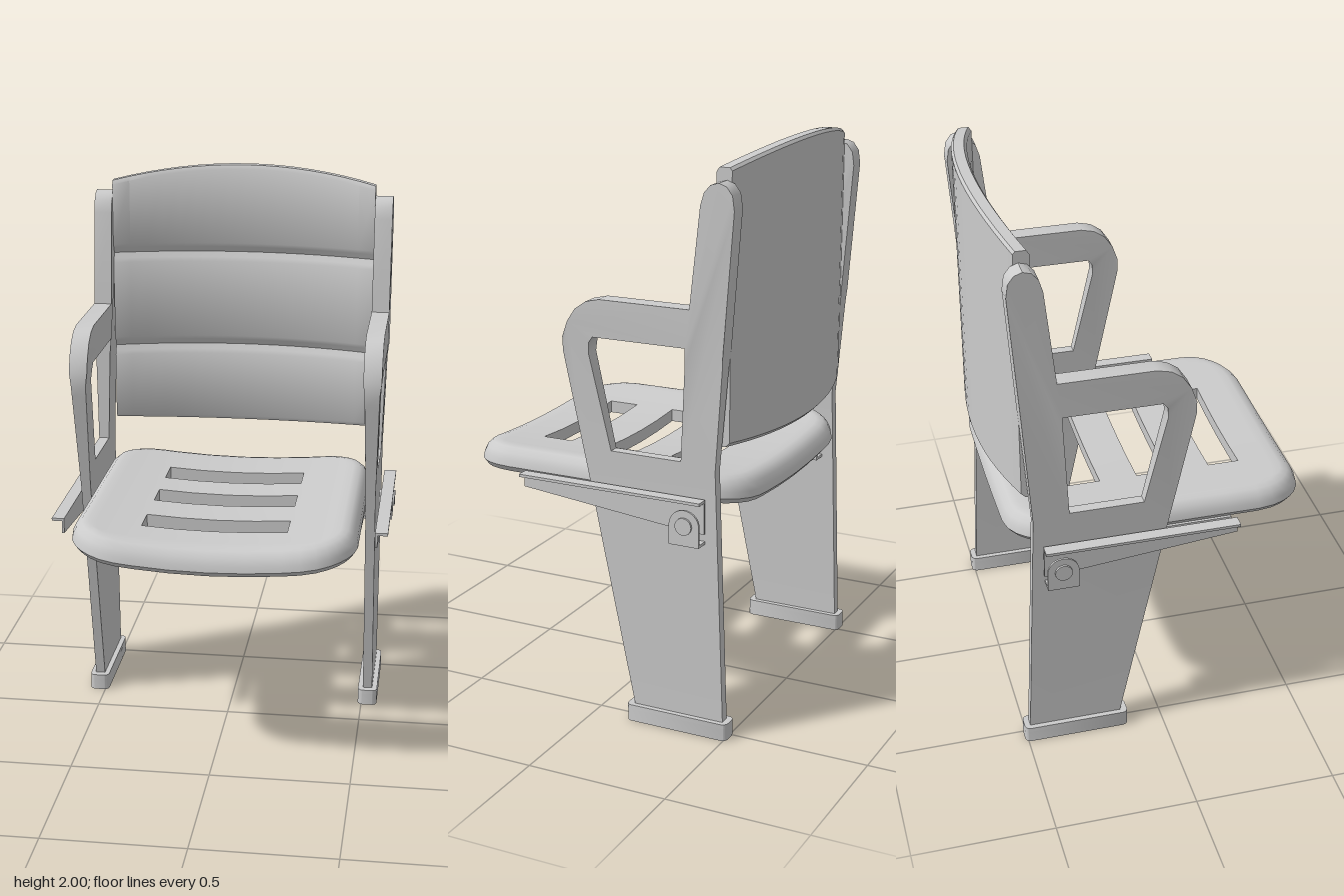
import * as THREE from 'three';
import { toCreasedNormals } from 'three/addons/utils/BufferGeometryUtils.js';

const material = new THREE.MeshStandardMaterial({ color: 0xcccccc });
const { lerp, clamp } = THREE.MathUtils;
const toPath = (pts, Type = THREE.Shape) => new Type(pts.map(([a, b]) => new THREE.Vector2(a, b)));

function addMesh(group, geometry, name, x = 0, y = 0, z = 0) {
  const mesh = new THREE.Mesh(geometry, material);
  mesh.name = name;
  mesh.position.set(x, y, z);
  group.add(mesh);
}

// Extrudes a (z, y) outline sideways, centred on x = 0
function sideways(shape, width, steps = 1) {
  const geo = new THREE.ExtrudeGeometry(shape, { depth: width, steps, bevelEnabled: false, curveSegments: 10 });
  return geo.translate(0, 0, -width / 2).rotateY(-Math.PI / 2);
}

function moveVertices(geo, rule) {
  const pos = geo.attributes.position;
  const v = new THREE.Vector3();
  for (let i = 0; i < pos.count; i++) {
    rule(v.fromBufferAttribute(pos, i));
    pos.setXYZ(i, v.x, v.y, v.z);
  }
  return toCreasedNormals(geo, 0.6);
}

// Leg, armrest and upright in one plate, thicker towards the top
function frameGeometry() {
  const shape = toPath([
    [-0.49, 0.05], [-0.158, 0.05], [0.022, 0.9], [0.097, 1.26], [0.105, 1.3], [0.104, 1.35], [0.085, 1.405],
    [0.055, 1.45], [0.015, 1.478], [-0.035, 1.49], [-0.365, 1.49], [-0.402, 1.83], [-0.415, 1.872],
    [-0.437, 1.897], [-0.465, 1.905], [-0.493, 1.895], [-0.513, 1.868], [-0.52, 1.82], [-0.485, 1.35],
    [-0.481, 1.3], [-0.455, 0.95], [-0.457, 0.9],
  ]);
  shape.holes.push(toPath([
    [-0.07, 0.97], [-0.33, 0.97], [-0.347, 1.3], [-0.35, 1.36], [-0.01, 1.36], [0.005, 1.34], [0.008, 1.3],
  ], THREE.Path));
  return moveVertices(sideways(shape, 1), (v) => {
    v.x *= v.y > 1.3
      ? lerp(0.053, 0.065, clamp((v.y - 1.3) / 0.05, 0, 1))
      : lerp(0.035, 0.053, clamp((v.y - 0.9) / 0.4, 0, 1));
  });
}

// Backrest: grooved section swept across and bowed backwards
function backrestGeometry() {
  const front = -0.506, back = -0.56;
  const pts = [[back, 1.025], [back + 0.015, 1.01], [front - 0.01, 1.01], [front, 1.025]];
  for (const y of [1.31, 1.67]) {
    pts.push([front, y - 0.035], [front - 0.008, y - 0.02], [front - 0.018, y], [front - 0.008, y + 0.02], [front, y + 0.035]);
  }
  pts.push([front, 1.985], [front - 0.01, 2], [back + 0.008, 2], [back, 1.99]);
  return moveVertices(sideways(toPath(pts), 0.98, 16), (v) => {
    const t = (v.x / 0.49) ** 2;
    v.z += 0.078 * t;
    if (v.y > 1.9) v.y -= 0.055 * t;
    if (v.y < 1.1) v.y += 0.015 * t;
  });
}

// Seat: slotted sagging sheet with a rolled rim around it
function seatGeometry() {
  const half = [0.44, 0.41, 0.37, 0.31, 0.255, 0.13];
  const xs = [...half.map((x) => -x), 0, ...half.slice().reverse()];
  const zs = [-0.46, -0.43, -0.39, -0.33, -0.275, -0.155, -0.02, 0.095, 0.245, 0.357, 0.415, 0.455, 0.485];
  const slotRows = [4, 6, 8];
  const X = 0.44, H = 0.4725, zc = 0.0125, r = 0.13, sheet = 0.045;
  const out = [];
  const quad = (a, b, c, d) => { for (const p of [a, b, c, a, c, d]) out.push(...p); };
  const height = (x) => 0.87 + 0.04 * Math.min(1, (x / 0.5) ** 2);

  // Grid point in plan, with the four corners rounded and the front bowed
  function plan(i, j) {
    let x = xs[i], z = zs[j];
    const u = (Math.abs(x) - X + r) / r, v = (Math.abs(z - zc) - H + r) / r;
    if (u > 0 && v > 0) {
      x = Math.sign(x) * (X - r + r * u * Math.sqrt(1 - v * v / 2));
      z = zc + Math.sign(z - zc) * (H - r + r * v * Math.sqrt(1 - u * u / 2));
    }
    if (z > 0.38) z += 0.015 * (1 - (x / X) ** 2) * (z - 0.38) / 0.105;
    return [x, z];
  }
  const at = (i, j, drop) => {
    const [x, z] = plan(i, j);
    return [x, height(x) - drop, z];
  };

  const n = xs.length - 1, m = zs.length - 1;
  for (let i = 0; i < n; i++) {
    for (let j = 0; j < m; j++) {
      const T = [at(i, j, 0), at(i, j + 1, 0), at(i + 1, j + 1, 0), at(i + 1, j, 0)];
      const B = [at(i, j, sheet), at(i, j + 1, sheet), at(i + 1, j + 1, sheet), at(i + 1, j, sheet)];
      const open = slotRows.includes(j) && i >= 4 && i < n - 4;
      if (!open) {
        quad(...T);
        quad(B[3], B[2], B[1], B[0]);
        continue;
      }
      // Slot walls
      quad(T[0], B[0], B[3], T[3]);
      quad(T[2], B[2], B[1], T[1]);
      if (i === 4) quad(T[1], B[1], B[0], T[0]);
      if (i === n - 5) quad(T[3], B[3], B[2], T[2]);
    }
  }

  // Rolled rim: (outward, down) section carried round the perimeter
  const loop = [];
  for (let i = 0; i < n; i++) loop.push(plan(i, m));
  for (let j = m; j > 0; j--) loop.push(plan(n, j));
  for (let i = n; i > 0; i--) loop.push(plan(i, 0));
  for (let j = 0; j < m; j++) loop.push(plan(0, j));
  const section = [[0, 0], [0.025, 0.006], [0.045, 0.026], [0.056, 0.05], [0.06, 0.072], [0.045, 0.09], [0.02, 0.09], [0, sheet]];
  const rings = loop.map(([x, z], k) => {
    const a = loop.at(k - 1), b = loop[(k + 1) % loop.length];
    const dx = b[0] - a[0], dz = b[1] - a[1], len = Math.hypot(dx, dz);
    return section.map(([o, d]) => {
      const px = x - o * dz / len;
      return [px, height(px) - d, z + o * dx / len];
    });
  });
  rings.forEach((ring, k) => {
    const next = rings[(k + 1) % rings.length];
    for (let s = 0; s < section.length - 1; s++) quad(ring[s], ring[s + 1], next[s + 1], next[s]);
  });

  const geo = new THREE.BufferGeometry();
  geo.setAttribute('position', new THREE.Float32BufferAttribute(out, 3));
  return toCreasedNormals(geo, 0.75);
}

// Rounded rectangle lying flat, for the feet
function footSlab(height, hollow) {
  const rounded = (w, d, r, Type) => {
    const p = new Type();
    p.absarc(w - r, d - r, r, 0, Math.PI / 2);
    p.absarc(r - w, d - r, r, Math.PI / 2, Math.PI);
    p.absarc(r - w, r - d, r, Math.PI, Math.PI * 1.5);
    p.absarc(w - r, r - d, r, Math.PI * 1.5, Math.PI * 2);
    return p;
  };
  const shape = rounded(0.036, 0.19, 0.02, THREE.Shape);
  if (hollow) shape.holes.push(rounded(0.026, 0.18, 0.012, THREE.Path));
  const geo = new THREE.ExtrudeGeometry(shape, { depth: height, bevelEnabled: false, curveSegments: 5 });
  return toCreasedNormals(geo.rotateX(-Math.PI / 2), 0.6);
}

// Round-topped tab of the hinge clip
function tabGeometry() {
  const s = new THREE.Shape();
  s.moveTo(-0.42, 0.695);
  s.lineTo(-0.31, 0.695);
  s.absarc(-0.365, 0.765, 0.055, 0, Math.PI);
  s.closePath();
  return toCreasedNormals(sideways(s, 0.008), 0.6);
}

const railGeometry = (top) => sideways(toPath([[-0.425, top], [-0.425, 0.735], [-0.32, 0.742], [0.26, 0.8], [0.26, top]]), 0.008);

function addSide(model, s) {
  const side = new THREE.Group();
  side.name = s > 0 ? 'leftSide' : 'rightSide';
  const add = (geo, name, x, y = 0, z = 0) => addMesh(side, geo, name, s * x, y, z);
  const fx = 0.5225;

  add(frameGeometry(), 'sideFrame', fx);
  add(footSlab(0.045, true), 'footRim', fx, 0, -0.32);
  add(footSlab(0.015, false), 'footCap', fx, 0.045, -0.32);

  // Seat rails and hinge clips on both faces of the frame
  add(railGeometry(0.855), 'outerRail', 0.557);
  add(new THREE.BoxGeometry(0.045, 0.01, 0.685), 'outerRailFlange', 0.575, 0.85, -0.0825);
  add(railGeometry(0.815), 'innerRail', 0.488);
  add(new THREE.BoxGeometry(0.045, 0.01, 0.685), 'innerRailFlange', 0.468, 0.81, -0.0825);
  for (const [label, x, mid] of [['outer', 0.586, 0.565], ['inner', 0.456, 0.48]]) {
    add(tabGeometry(), label + 'HingeTab', x);
    add(new THREE.BoxGeometry(0.05, 0.01, 0.11), label + 'HingeBase', mid, 0.7, -0.365);
  }
  const pin = new THREE.CylinderGeometry(0.03, 0.03, 0.15, 20).rotateZ(Math.PI / 2);
  add(pin, 'hingePin', fx, 0.765, -0.365);
  model.add(side);
}

export function createModel() {
  const model = new THREE.Group();
  model.name = 'foldingSeat';
  addMesh(model, seatGeometry(), 'seat');
  addMesh(model, backrestGeometry(), 'backrest');
  addSide(model, 1);
  addSide(model, -1);
  return model;
}
